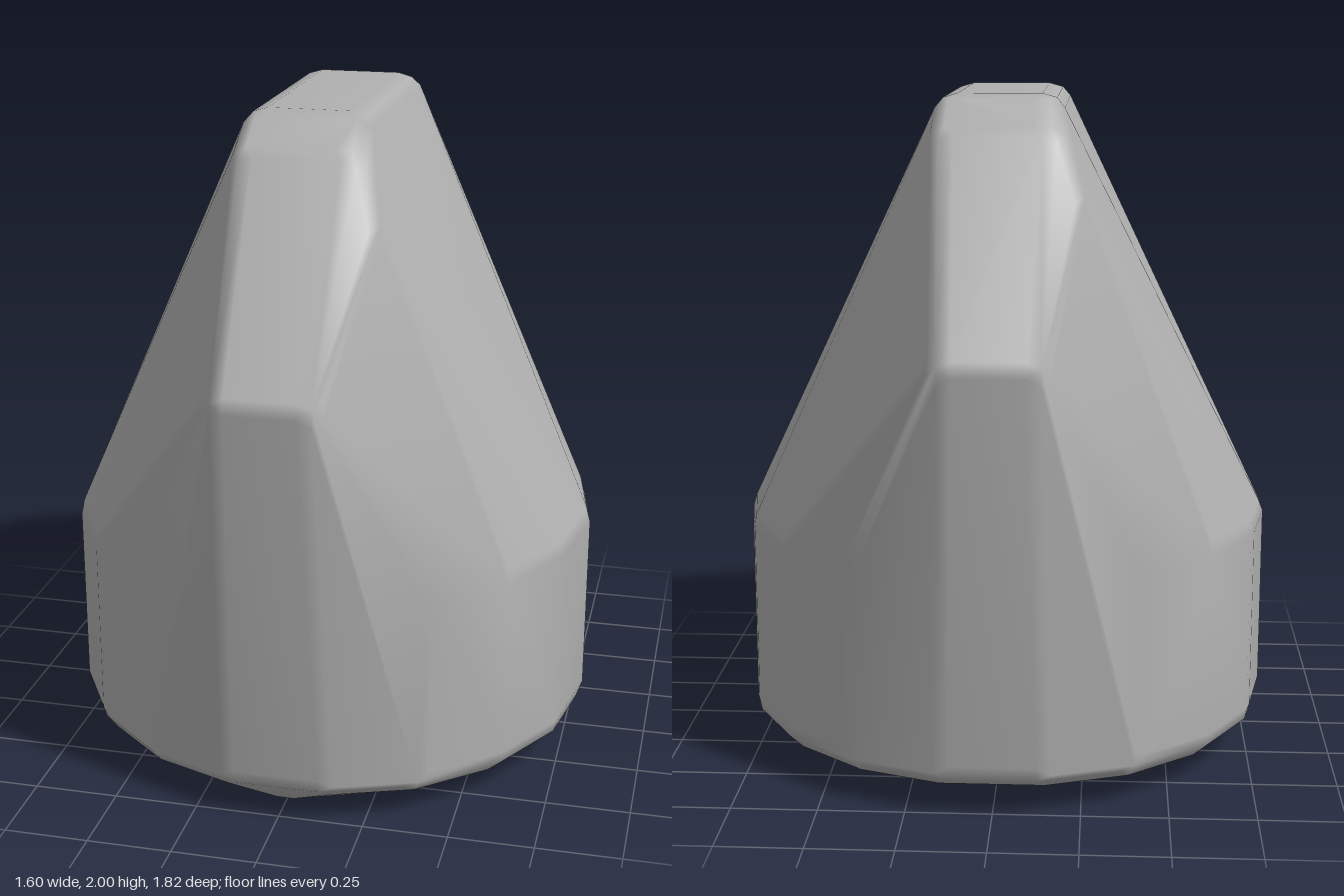
import * as THREE from 'three';
import { ConvexGeometry } from 'three/addons/geometries/ConvexGeometry.js';
import { mergeVertices } from 'three/addons/utils/BufferGeometryUtils.js';

const ROUND = 0.08; // corner rounding radius

export function createModel() {
  const stone = new THREE.MeshStandardMaterial({ color: 0xb0b0b0 });
  stone.name = 'stone grey';

  // Centres of the rounded corners
  const corners = [];
  for (const sx of [-1, 1]) {
    for (const sz of [-1, 1]) {
      corners.push([sx * 0.12, 1.92, sz * 0.33]); // crown
      corners.push([sx * 0.125, 1.85, sz * 0.42]); // shoulder
      corners.push([sx * 0.1, 1.29, sz * 0.83]); // lower end of the sloping panel
    }
    corners.push([sx * 0.18, 1.69, sx * 0.51]); // bulge on opposite panel edges
  }

  // Round base, from the bottom edge up to the waist
  const sides = 18;
  for (let i = 0; i < sides; i++) {
    const a = (i / sides) * Math.PI * 2;
    for (const y of [0.155, 0.7]) {
      corners.push([Math.cos(a) * 0.72, y, Math.sin(a) * 0.72]);
    }
  }
  corners.push([0, 0.08, 0.63]); // low point under the front

  // Wrap one convex skin around small balls at the corners
  const ball = mergeVertices(new THREE.IcosahedronGeometry(ROUND, 1).deleteAttribute('uv').deleteAttribute('normal'), 1e-4);
  const ballPos = ball.attributes.position;
  const points = [];
  for (const [x, y, z] of corners) {
    for (let i = 0; i < ballPos.count; i++) {
      points.push(new THREE.Vector3(x, y, z).add(new THREE.Vector3().fromBufferAttribute(ballPos, i)));
    }
  }
  let skin = new ConvexGeometry(points);
  skin.deleteAttribute('normal');
  skin = mergeVertices(skin, 1e-4);
  skin.computeVertexNormals();

  const rock = new THREE.Mesh(skin, stone);
  rock.name = 'rock';

  // Stand on the ground, centred
  skin.computeBoundingBox();
  const box = skin.boundingBox;
  skin.translate(-(box.min.x + box.max.x) / 2, -box.min.y, -(box.min.z + box.max.z) / 2);

  const group = new THREE.Group();
  group.name = 'boulder';
  group.add(rock);
  return group;
}
